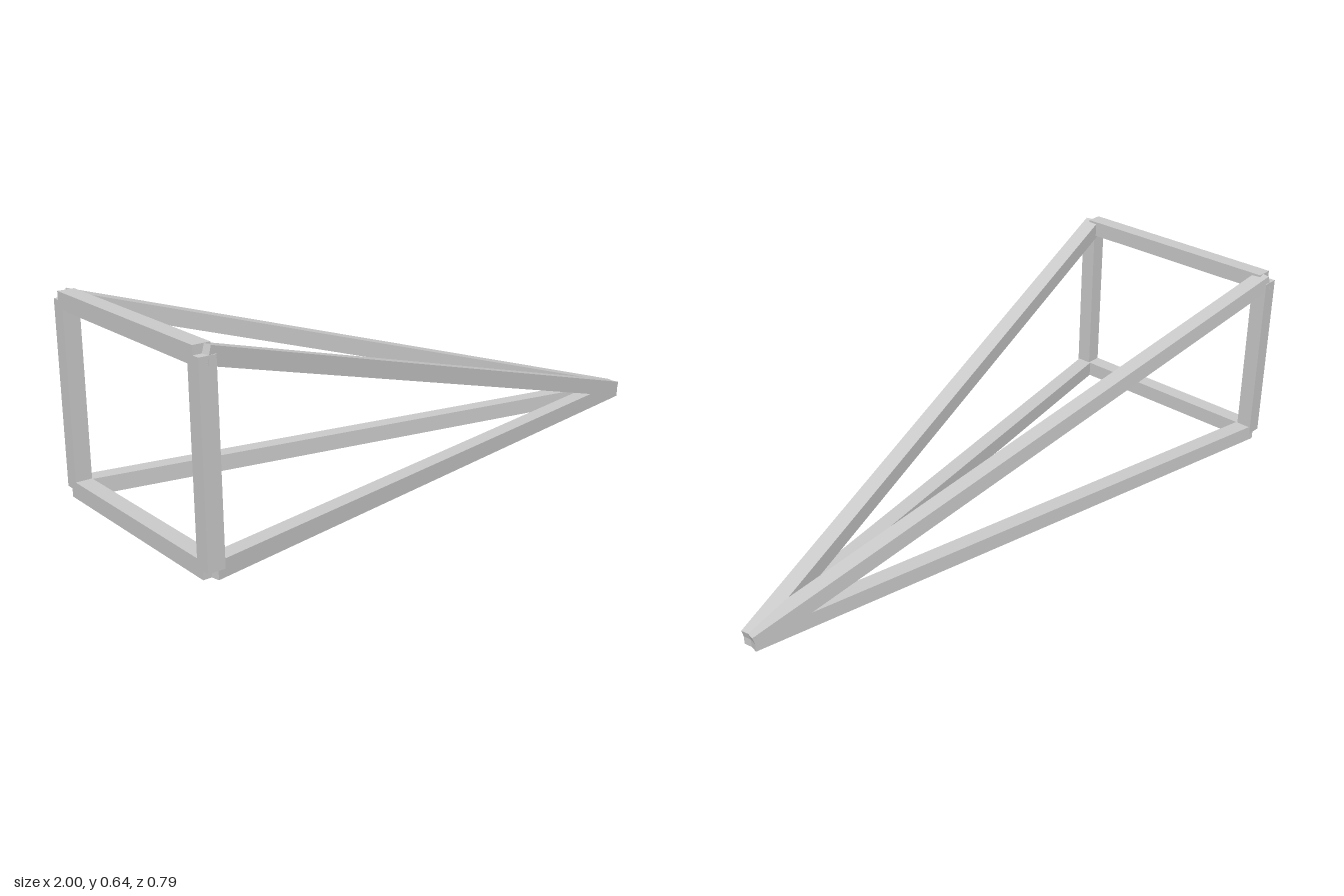
import * as THREE from 'three';

const T = 0.053;            // bar thickness
const BACK = -0.9735;       // x of the square frame
const TIP = new THREE.Vector3(0.988, T / 2, 0);
const LOW = T / 2, HIGH = 0.609, HALF = 0.37;

export function createModel() {
  const model = new THREE.Group();
  const material = new THREE.MeshStandardMaterial({ color: 0xcccccc, flatShading: true });

  // Square bar with flat ends, running from a to b
  function bar(name, a, b) {
    const mesh = new THREE.Mesh(new THREE.BoxGeometry(T, T, a.distanceTo(b)), material);
    mesh.name = name;
    mesh.position.copy(a).lerp(b, 0.5);
    if (Math.abs(b.y - a.y) > 0.9 * a.distanceTo(b)) mesh.rotation.x = Math.PI / 2;
    else mesh.lookAt(b);
    model.add(mesh);
  }

  const corner = (y, side) => new THREE.Vector3(BACK, y, side * HALF);

  for (const [side, label] of [[1, 'front'], [-1, 'back']]) {
    // Upright of the square frame
    bar(label + 'Post', corner(LOW, side), corner(HIGH, side));
    // Bars converging on the tip
    bar(label + 'LowerBar', corner(LOW, side), TIP);
    bar(label + 'UpperBar', corner(HIGH, side), TIP);
  }

  // Cross bars of the square frame
  bar('lowerCrossBar', corner(LOW, -1), corner(LOW, 1));
  bar('upperCrossBar', corner(HIGH, -1), corner(HIGH, 1));

  return model;
}
